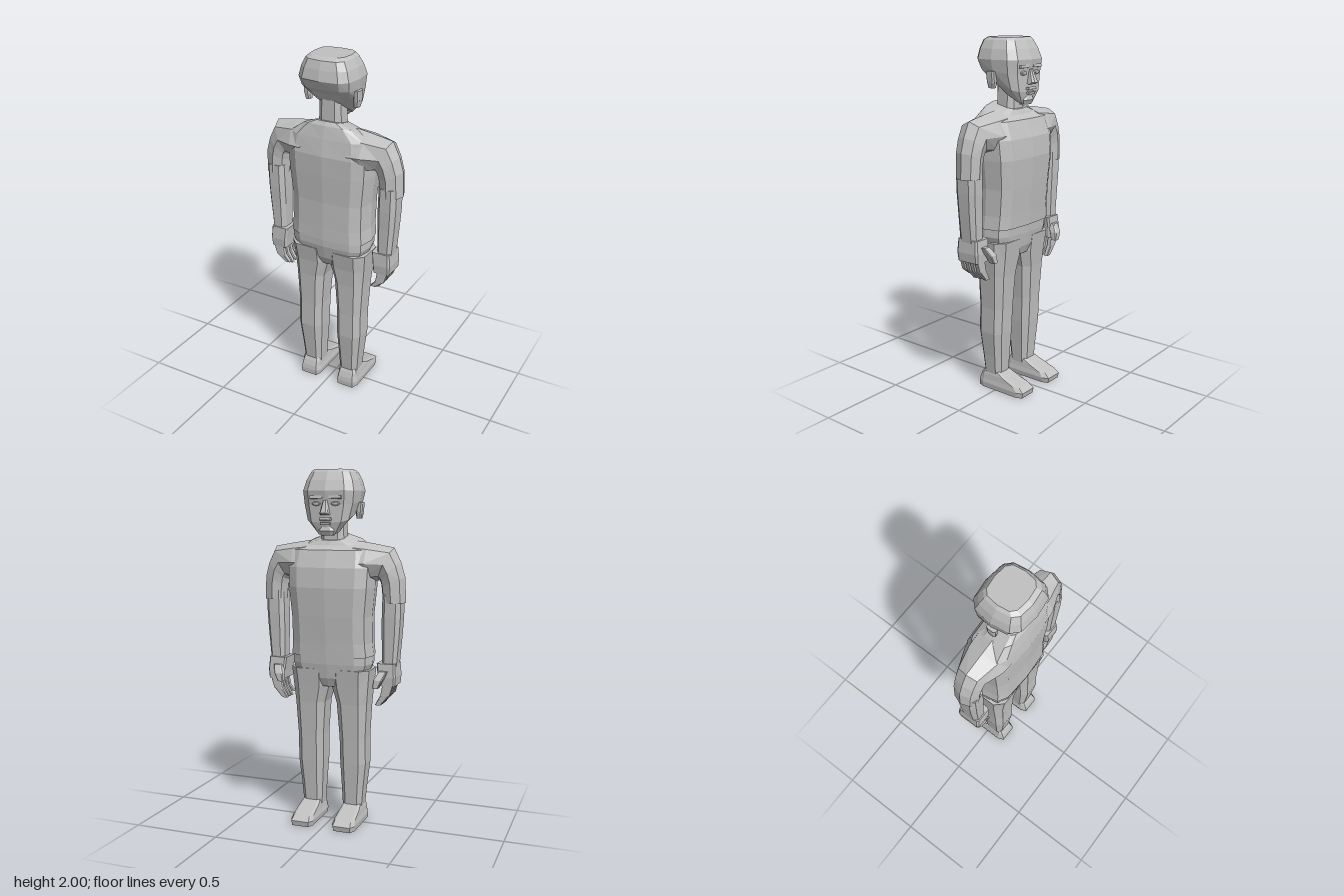
import * as THREE from 'three';

const clay = new THREE.MeshStandardMaterial({ color: 0xc0c0c0, flatShading: true });
clay.name = 'plain grey';

// Unit outline with rounded corners; e near 0 is boxy, 1 is round
function outline(n, e) {
  const half = n === 8 ? 0.5 : 0, pts = [];
  const pw = v => Math.abs(v) < 1e-6 ? 0 : Math.sign(v) * Math.abs(v) ** e;
  for (let i = 0; i < n; i++) {
    const a = (i + half) / n * Math.PI * 2;
    pts.push([pw(Math.cos(a)), pw(Math.sin(a))]);
  }
  const m = Math.max(...pts.map(p => p[0]));
  return pts.map(p => [p[0] / m, p[1] / m]);
}

// Horizontal section between x0..x1 and z0..z1; tilt raises it along z
function ring(y, x0, x1, z0, z1, n = 8, e = 0.6, tilt = 0) {
  return outline(n, e).map(([u, v]) => {
    const z = (z0 + z1) / 2 + v * (z1 - z0) / 2;
    return [(x0 + x1) / 2 + u * (x1 - x0) / 2, y + tilt * z, z];
  });
}

// Skin a list of sections and cap both ends, with faces turned outwards
function loft(name, rings, mirror = 1) {
  const n = rings[0].length, tris = [];
  const P = rings.map(r => r.map(p => new THREE.Vector3(p[0] * mirror, p[1], p[2])));
  for (let k = 0; k + 1 < P.length; k++) for (let i = 0; i < n; i++) {
    const j = (i + 1) % n, a = P[k][i], b = P[k][j], c = P[k + 1][j], d = P[k + 1][i];
    tris.push([a, c, b], [a, d, c]);
  }
  const L = P[P.length - 1];
  for (let i = 1; i + 1 < n; i++) tris.push([P[0][0], P[0][i], P[0][i + 1]], [L[0], L[i + 1], L[i]]);
  const o = P[0][0];
  let vol = 0;
  for (const [a, b, c] of tris)
    vol += a.clone().sub(o).dot(b.clone().sub(o).cross(c.clone().sub(o)));
  const flat = tris.flatMap(([a, b, c]) => vol < 0 ? [a, c, b] : [a, b, c]);
  const g = new THREE.BufferGeometry().setFromPoints(flat);
  g.computeVertexNormals();
  const mesh = new THREE.Mesh(g, clay);
  mesh.name = name;
  return mesh;
}

function box(name, w, h, d, x, y, z, rx = 0) {
  const m = new THREE.Mesh(new THREE.BoxGeometry(w, h, d), clay);
  m.name = name;
  m.position.set(x, y, z);
  m.rotation.x = rx;
  return m;
}

// Symmetrical body loft from rows of [y, halfWidth, zFront, zBack, tilt]
const body = (name, rows, e) =>
  loft(name, rows.map(([y, w, f, b, t = 0]) => ring(y, -w, w, f, b, 12, e, t)));

// Limb loft from rows of [y, xInner, xOuter, zFront, zBack]
const limb = (name, rows, s, e = 0.6) =>
  loft(name, rows.map(r => ring(...r, 8, e)), s);

function makeHead() {
  const head = new THREE.Group();
  head.name = 'head';
  head.add(body('skull', [
    [1.70, 0.07, -0.09, 0.085, 0.6],
    [1.755, 0.13, -0.105, 0.125, 0.4],
    [1.82, 0.152, -0.105, 0.165, 0.1],
    [1.885, 0.16, -0.115, 0.19],
    [1.94, 0.145, -0.095, 0.178],
    [1.985, 0.122, -0.072, 0.162],
    [2.0, 0.106, -0.058, 0.135]], 0.6));
  // Nose widens towards its tip
  head.add(loft('nose', [
    ring(1.755, -0.026, 0.026, -0.128, -0.08),
    ring(1.765, -0.024, 0.024, -0.145, -0.08),
    ring(1.835, -0.01, 0.01, -0.117, -0.08)]));
  head.add(box('upperLip', 0.065, 0.014, 0.03, 0, 1.732, -0.105, 0.2));
  head.add(box('lowerLip', 0.055, 0.014, 0.03, 0, 1.71, -0.102, -0.2));
  head.add(loft('chin', [
    ring(1.645, -0.035, 0.035, -0.093, -0.05),
    ring(1.67, -0.045, 0.045, -0.105, -0.05),
    ring(1.695, -0.035, 0.035, -0.097, -0.05)]));
  for (const s of [1, -1]) {
    head.add(box('brow', 0.07, 0.016, 0.03, s * 0.055, 1.848, -0.098, 0.2));
    const eye = new THREE.Mesh(new THREE.SphereGeometry(1, 8, 6), clay);
    eye.name = 'eye';
    eye.scale.set(0.026, 0.012, 0.014);
    eye.position.set(s * 0.055, 1.815, -0.1);
    head.add(eye);
    head.add(loft('ear', [
      ring(1.735, 0.13, 0.158, 0.022, 0.06),
      ring(1.77, 0.13, 0.165, 0.015, 0.066),
      ring(1.825, 0.135, 0.168, 0.015, 0.07)], s));
  }
  return head;
}

// One sleeve, swept from the chest over the shoulder and down to the hem
function makeSleeve(s) {
  const rows = [ // outer x, y, inner x, y, half depth
    [0.14, 1.615, 0.14, 1.37, 0.125],
    [0.22, 1.603, 0.2, 1.385, 0.12],
    [0.35, 1.58, 0.265, 1.4, 0.083],
    [0.39, 1.5, 0.275, 1.39, 0.08],
    [0.414, 1.42, 0.28, 1.36, 0.076],
    [0.42, 1.28, 0.288, 1.28, 0.072]];
  return loft('sleeve', rows.map(([ox, oy, ix, iy, h]) =>
    Array.from({ length: 8 }, (_, i) => {
      const a = i / 4 * Math.PI, c = (1 + Math.cos(a)) / 2, v = Math.sin(a);
      return [ix + (ox - ix) * c, iy + (oy - iy) * c, 0.03 + h * v];
    })), s);
}

function makeHand(s) {
  const hand = new THREE.Group();
  hand.name = 'hand';
  hand.add(limb('palm', [
    [0.82, 0.283, 0.378, -0.04, 0.1],
    [0.87, 0.28, 0.382, -0.042, 0.105],
    [0.945, 0.272, 0.376, -0.035, 0.1]], s, 0.2));
  for (let i = 0; i < 4; i++) {
    const z = -0.038 + i * 0.035, tip = 0.708 + (i === 3 ? 0.018 : 0);
    hand.add(limb('finger', [
      [tip, 0.265, 0.298, z + 0.004, z + 0.027],
      [0.765, 0.297, 0.348, z + 0.001, z + 0.03],
      [0.83, 0.31, 0.368, z, z + 0.031]], s, 0.3));
  }
  hand.add(limb('thumb', [
    [0.815, 0.268, 0.3, -0.095, -0.058],
    [0.86, 0.272, 0.322, -0.092, -0.045],
    [0.905, 0.295, 0.34, -0.06, -0.015]], s, 0.3));
  return hand;
}

export function createModel() {
  const figure = new THREE.Group();
  figure.name = 'standingFigure';

  figure.add(makeHead());
  figure.add(loft('neck', [
    ring(1.57, -0.07, 0.07, -0.025, 0.095),
    ring(1.78, -0.062, 0.062, -0.02, 0.09)]));

  // Shirt with a sloping collar, and the hips below it
  figure.add(body('shirt', [
    [0.975, 0.238, -0.102, 0.16],
    [1.05, 0.23, -0.107, 0.158],
    [1.2, 0.23, -0.12, 0.156],
    [1.36, 0.246, -0.13, 0.163],
    [1.47, 0.25, -0.12, 0.165],
    [1.565, 0.24, -0.085, 0.148],
    [1.6, 0.15, -0.05, 0.132, 0.25],
    [1.625, 0.08, -0.035, 0.118, 0.25]], 0.55));
  figure.add(body('hips', [
    [0.8, 0.1, -0.06, 0.11],
    [0.85, 0.2, -0.08, 0.135],
    [0.93, 0.232, -0.092, 0.153],
    [0.99, 0.23, -0.096, 0.155]], 0.55));

  for (const s of [1, -1]) {
    figure.add(makeSleeve(s));
    figure.add(limb('arm', [
      [0.93, 0.295, 0.378, -0.022, 0.092],
      [1.1, 0.292, 0.392, -0.026, 0.096],
      [1.2, 0.292, 0.398, -0.03, 0.1],
      [1.33, 0.295, 0.4, -0.03, 0.1]], s));
    figure.add(makeHand(s));
    figure.add(limb('trouserLeg', [
      [0.08, 0.066, 0.178, -0.02, 0.095],
      [0.2, 0.06, 0.188, -0.028, 0.107],
      [0.35, 0.052, 0.204, -0.04, 0.122],
      [0.5, 0.05, 0.203, -0.047, 0.118],
      [0.7, 0.036, 0.214, -0.06, 0.122],
      [0.8, 0.008, 0.223, -0.072, 0.13],
      [0.9, 0.005, 0.232, -0.085, 0.145]], s));
    figure.add(limb('shoe', [
      [0, 0.062, 0.19, -0.188, 0.125],
      [0.03, 0.058, 0.192, -0.194, 0.125],
      [0.055, 0.064, 0.186, -0.165, 0.12],
      [0.085, 0.068, 0.182, -0.07, 0.108],
      [0.108, 0.074, 0.174, -0.015, 0.095]], s, 0.3));
  }
  return figure;
}
